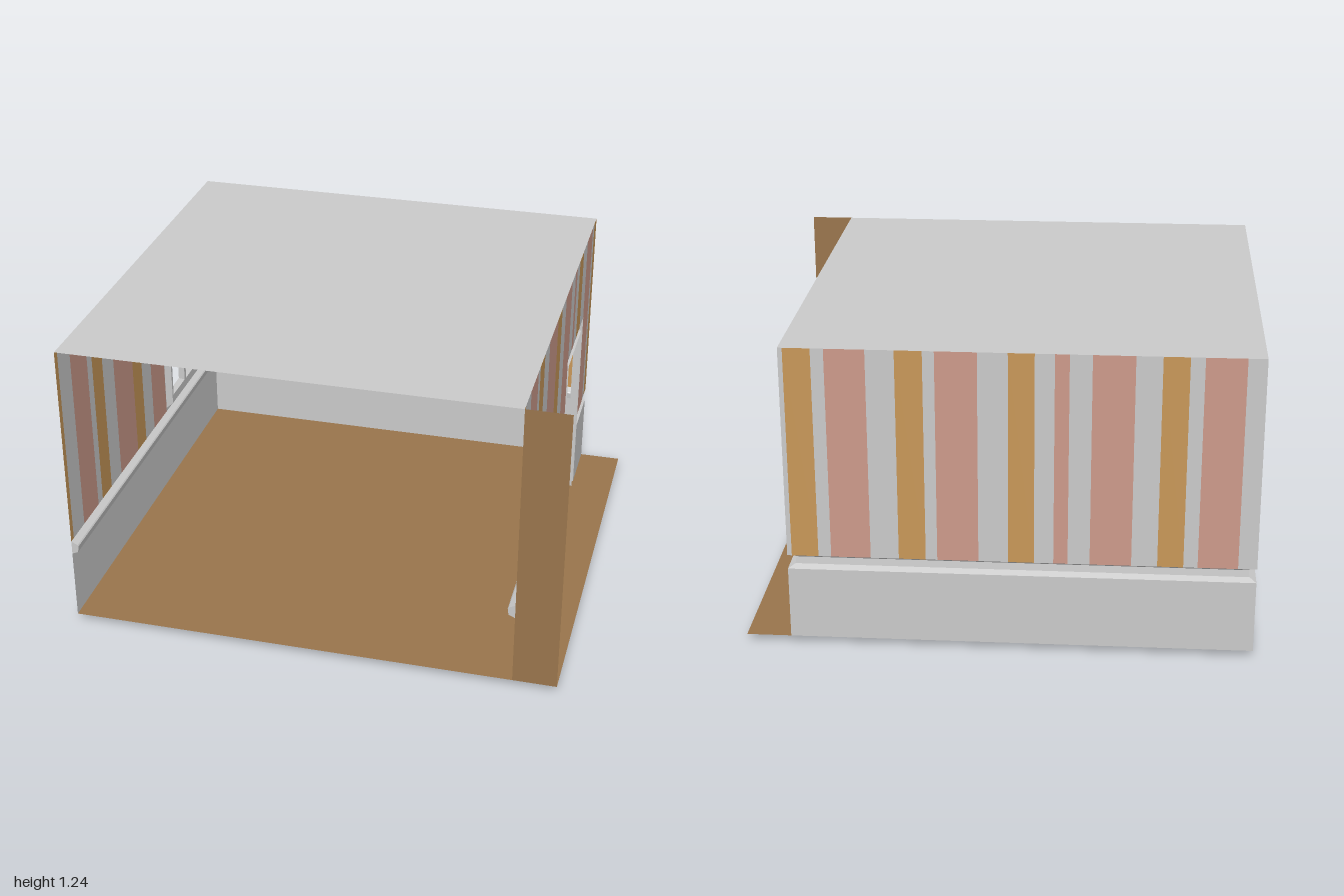
import * as THREE from 'three';

const mat = (name, color) => {
  const m = new THREE.MeshStandardMaterial({ color, side: THREE.DoubleSide, flatShading: true });
  m.name = name;
  return m;
};

export function createModel() {
  const grey = mat('pale grey', 0xcacaca);
  const pink = mat('dusty pink', 0xcc9a8a);
  const orange = mat('ochre', 0xc89758);
  const brown = mat('wood brown', 0x99754c);

  const LEFT = -0.998, RIGHT = 0.823, FRONT = 0.912, BACK = -0.912;
  const FLOOR = 0.03, TOP = 1.24, RAIL0 = 0.325, RAIL1 = 0.383;
  const model = new THREE.Group();
  model.name = 'room';

  const add = (parent, name, geo, material) => {
    const mesh = new THREE.Mesh(geo, material);
    mesh.name = name;
    parent.add(mesh);
    return mesh;
  };
  const group = (name) => {
    const g = new THREE.Group();
    g.name = name;
    model.add(g);
    return g;
  };

  // Flat upright panel, running along x or z at a fixed distance on the other axis
  const panel = (parent, name, material, axis, at, a, b, y0, y1) => {
    const geo = new THREE.PlaneGeometry(Math.abs(b - a), y1 - y0);
    if (axis === 'z') geo.rotateY(Math.PI / 2);
    const mid = (a + b) / 2, y = (y0 + y1) / 2;
    geo.translate(axis === 'x' ? mid : at, y, axis === 'x' ? at : mid);
    add(parent, name, geo, material);
  };

  // Surface through cross-sections, with optional flat end caps
  const loft = (sections, capped) => {
    const pos = [];
    const tri = (...pts) => pts.forEach((p) => pos.push(...p));
    for (let i = 0; i + 1 < sections.length; i++) {
      const s = sections[i], t = sections[i + 1];
      for (let j = 0; j + 1 < s.length; j++) {
        tri(s[j], t[j], t[j + 1]);
        tri(s[j], t[j + 1], s[j + 1]);
      }
    }
    if (capped) {
      for (const s of [sections[0], sections[sections.length - 1]]) {
        for (let j = 1; j + 1 < s.length; j++) tri(s[0], s[j], s[j + 1]);
      }
    }
    const geo = new THREE.BufferGeometry();
    geo.setAttribute('position', new THREE.Float32BufferAttribute(pos, 3));
    geo.computeVertexNormals();
    return geo;
  };

  // Upper wall in vertical stripes, leaving out an optional opening
  const stripedWall = (name, axis, at, a, b, stripes, hole) => {
    const g = group(name);
    const cell = (material, p, q) => {
      if (q - p < 1e-4) return;
      const label = material === grey ? 'plainStripe' : material === pink ? 'pinkStripe' : 'ochreStripe';
      const cuts = [p, q];
      if (hole) for (const h of [hole.a, hole.b]) if (h > p && h < q) cuts.push(h);
      cuts.sort((m, n) => m - n);
      for (let i = 0; i + 1 < cuts.length; i++) {
        const mid = (cuts[i] + cuts[i + 1]) / 2;
        if (hole && mid > hole.a && mid < hole.b) {
          if (hole.y0 > RAIL1) panel(g, label, material, axis, at, cuts[i], cuts[i + 1], RAIL1, hole.y0);
          panel(g, label, material, axis, at, cuts[i], cuts[i + 1], hole.y1, TOP);
        } else panel(g, label, material, axis, at, cuts[i], cuts[i + 1], RAIL1, TOP);
      }
    };
    let x = a;
    for (const [p, q, material] of stripes) {
      cell(grey, x, p);
      cell(material, p, q);
      x = q;
    }
    cell(grey, x, b);
  };

  // Floor and ceiling
  const slab = (name, x0, x1, y, material) => {
    const geo = new THREE.PlaneGeometry(x1 - x0, FRONT - BACK).rotateX(-Math.PI / 2);
    add(model, name, geo.translate((x0 + x1) / 2, y, 0), material);
  };
  slab('floor', LEFT, 1, FLOOR, brown);
  slab('ceiling', LEFT, RIGHT, TOP, grey);

  // Narrow wooden front panel beside the room
  panel(model, 'frontPanel', brown, 'x', FRONT, RIGHT, 1, FLOOR, TOP);

  // Openings
  const door = { a: -0.655, b: -0.21, y0: 0, y1: 0.875 };
  const win = { a: -0.61, b: -0.222, y0: 0.4, y1: 0.94 };

  // Lower walls
  const lower = group('lowerWalls');
  panel(lower, 'lowerBackWall', grey, 'x', BACK, LEFT, RIGHT, FLOOR, RAIL0);
  panel(lower, 'lowerWindowWall', grey, 'z', LEFT, BACK, FRONT, FLOOR, RAIL0);
  panel(lower, 'lowerDoorWallBack', grey, 'z', RIGHT, BACK, door.a, FLOOR, RAIL0);
  panel(lower, 'lowerDoorWallFront', grey, 'z', RIGHT, door.b, FRONT, FLOOR, RAIL0);

  // Upper walls
  stripedWall('upperBackWall', 'x', BACK, LEFT, RIGHT, [
    [-0.925, -0.77, pink], [-0.715, -0.615, orange], [-0.515, -0.355, pink],
    [-0.27, -0.215, pink], [-0.14, -0.04, orange], [0.075, 0.235, pink],
    [0.28, 0.385, orange], [0.495, 0.65, pink], [0.7, 0.805, orange],
  ]);
  const sideStripes = [
    [BACK, -0.85, orange], [-0.805, -0.65, pink], [-0.54, -0.435, orange],
    [-0.36, -0.31, pink], [-0.22, -0.06, pink], [0.045, 0.147, orange],
    [0.147, 0.35, pink], [0.465, 0.567, orange], [0.615, 0.772, pink],
    [0.885, FRONT, orange],
  ];
  stripedWall('upperDoorWall', 'z', RIGHT, BACK, FRONT, sideStripes, door);
  stripedWall('upperWindowWall', 'z', LEFT, BACK, FRONT, sideStripes, win);

  // Chair rail: hollow moulding open to the outside, mitred at the corners
  const railProfile = [[0, RAIL1], [0.026, 0.37], [0.03, 0.365], [0.026, 0.337], [0, RAIL0]];
  const rail = (name, path) => add(model, name, loft(path.map(([x, z, nx, nz]) =>
    railProfile.map(([d, y]) => [x + nx * d, y, z + nz * d])), true), grey);
  rail('chairRail', [
    [LEFT, FRONT, 1, 0], [LEFT, BACK, 1, 1], [RIGHT, BACK, -1, 1], [RIGHT, door.a, -1, 0],
  ]);
  rail('chairRailFront', [[RIGHT, door.b, -1, 0], [RIGHT, FRONT, -1, 0]]);

  // Door frame: hollow bevelled moulding around three sides
  const doorProfile = [[0, 0], [0.018, 0.03], [0.045, 0.03], [0.045, 0]];
  const doorPath = [[door.b, 0, -1, 0], [door.b, door.y1, -1, -1], [door.a, door.y1, 1, -1], [door.a, 0, 1, 0]];
  add(model, 'doorFrame', loft(doorPath.map(([z, y, nz, ny]) =>
    doorProfile.map(([inset, d]) => [RIGHT - d, y + ny * inset, z + nz * inset])), true), grey);

  // Window: bevelled surround, face plate with four openings, pane reveals
  const windowGroup = group('window');
  const depth = 0.025;
  const ring = (r, grow) => [
    [r.a - grow, r.y0 - grow], [r.b + grow, r.y0 - grow], [r.b + grow, r.y1 + grow], [r.a - grow, r.y1 + grow],
  ];
  const skirt = (name, r, growWall, growFace) => {
    const outer = ring(r, growWall), inner = ring(r, growFace);
    const sections = [0, 1, 2, 3, 0].map((i) => [
      [LEFT, outer[i][1], outer[i][0]], [LEFT + depth, inner[i][1], inner[i][0]],
    ]);
    add(windowGroup, name, loft(sections, false), grey);
  };
  const toShape = (pts, Type) => new Type(pts.map(([z, y]) => new THREE.Vector2(z, y)));
  skirt('windowSurround', win, 0, -0.018);
  const face = toShape(ring(win, -0.018), THREE.Shape);
  for (const [a, b] of [[-0.567, -0.435], [-0.396, -0.264]]) {
    for (const [y0, y1] of [[0.465, 0.64], [0.71, 0.885]]) {
      const pane = { a, b, y0, y1 };
      face.holes.push(toShape(ring(pane, 0.009).reverse(), THREE.Path));
      skirt('paneReveal', pane, 0, 0.009);
    }
  }
  const plate = new THREE.ShapeGeometry(face).rotateY(-Math.PI / 2).translate(LEFT + depth, 0, 0);
  add(windowGroup, 'windowFace', plate, grey);

  return model;
}
